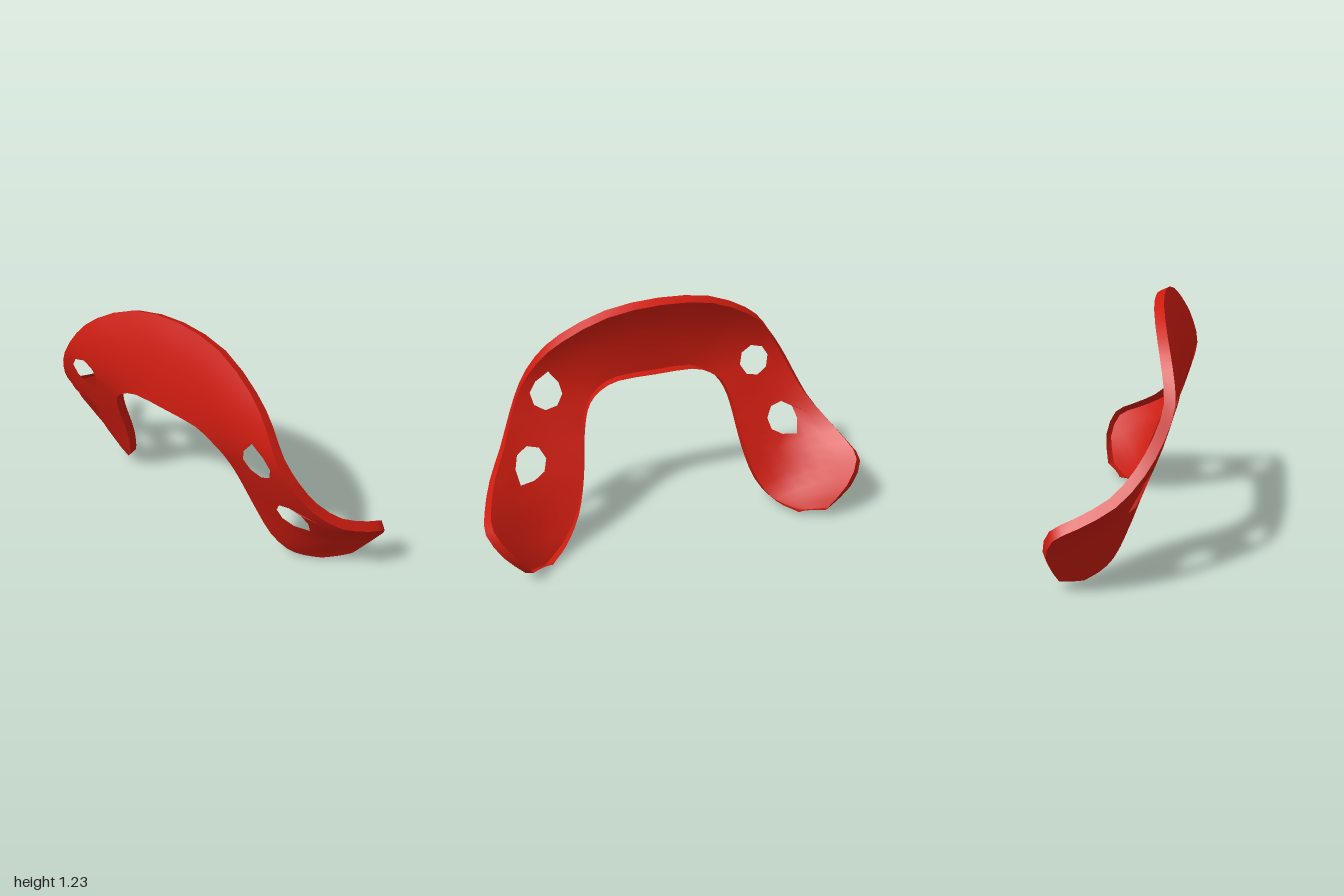
import * as THREE from 'three';
import { toCreasedNormals } from 'three/addons/utils/BufferGeometryUtils.js';

const RIM_DEPTH = 0.05;
const ROWS = 22; // rows per side, two per section
const COLS = 6;

// Sections from the crown to the wing tip: inner edge, middle, outer edge
const SECTIONS = [
  [[0, 0.79, 0.26], [0, 1.03, 0.235], [0, 1.23, 0.165]],
  [[0.2, 0.785, 0.26], [0.23, 1.0, 0.245], [0.27, 1.195, 0.18]],
  [[0.3, 0.74, 0.255], [0.4, 0.93, 0.265], [0.49, 1.085, 0.22]],
  [[0.36, 0.68, 0.235], [0.5, 0.83, 0.27], [0.61, 0.97, 0.255]],
  [[0.395, 0.6, 0.205], [0.56, 0.745, 0.255], [0.695, 0.83, 0.275]],
  [[0.415, 0.5, 0.165], [0.61, 0.6, 0.21], [0.765, 0.69, 0.235]],
  [[0.43, 0.4, 0.125], [0.67, 0.47, 0.155], [0.835, 0.555, 0.16]],
  [[0.455, 0.28, 0.08], [0.71, 0.36, 0.1], [0.92, 0.44, 0.05]],
  [[0.5, 0.15, 0.035], [0.74, 0.26, 0.03], [0.98, 0.36, -0.1]],
  [[0.57, 0.055, -0.015], [0.77, 0.17, -0.05], [0.998, 0.305, -0.21]],
  [[0.64, 0.015, -0.07], [0.785, 0.09, -0.14], [0.93, 0.185, -0.255]],
  [[0.71, 0, -0.13], [0.775, 0.022, -0.175], [0.83, 0.045, -0.22]],
];

// Eight-sided holes: grid row, centre, first angle, stretched corner and its reach
const HOLES = [
  { row: 8, x: 0.567, y: 0.755, start: 55, corner: 7, reach: 0.115, sides: [1] },
  { row: 13, x: 0.695, y: 0.438, start: 40, corner: 2, reach: 0.108, sides: [-1, 1] },
];
const RING = [[1, 0], [1, 1], [0, 1], [-1, 1], [-1, 0], [-1, -1], [0, -1], [1, -1]];

// Edge or middle curve running over both sides
function railCurve(k) {
  const right = SECTIONS.map((s) => new THREE.Vector3(...s[k]));
  const left = right.slice(1).reverse().map((p) => new THREE.Vector3(-p.x, p.y, p.z));
  return new THREE.CatmullRomCurve3([...left, ...right], false, 'catmullrom', 0.5);
}
const RAILS = [0, 1, 2].map(railCurve);

// Front surface at a grid position: a quadratic across the three rails
function surface(row, col) {
  const [a, m, b] = RAILS.map((k) => k.getPoint((row + ROWS) / (2 * ROWS)));
  const v = col / COLS;
  return new THREE.Vector3()
    .addScaledVector(a, (1 - v) * (1 - 2 * v))
    .addScaledVector(m, 4 * v * (1 - v))
    .addScaledVector(b, v * (2 * v - 1));
}

// Surface point seen at x, y from the front, found by Newton steps
function surfaceAt(x, y, row, col) {
  const e = 0.01;
  for (let i = 0; i < 6; i++) {
    const p = surface(row, col);
    const du = surface(row + e, col).sub(p).divideScalar(e);
    const dv = surface(row, col + e).sub(p).divideScalar(e);
    const dx = x - p.x, dy = y - p.y, det = du.x * dv.y - dv.x * du.y;
    row += (dx * dv.y - dv.x * dy) / det;
    col += (du.x * dy - dx * du.y) / det;
  }
  return surface(row, col);
}

function plateGeometry() {
  const id = (r, c) => (r + ROWS) * (COLS + 1) + c;
  const points = [], index = [], open = new Set();
  for (let r = -ROWS; r <= ROWS; r++) {
    for (let c = 0; c <= COLS; c++) points.push(surface(r, c));
  }

  // Outline of the plate, walked once around
  const outline = [];
  for (let r = -ROWS; r < ROWS; r++) outline.push([r, 0]);
  for (let c = 0; c < COLS; c++) outline.push([ROWS, c]);
  for (let r = ROWS; r > -ROWS; r--) outline.push([r, COLS]);
  for (let c = COLS; c > 0; c--) outline.push([-ROWS, c]);

  // Rim turned back from the outline, square to the skin
  const at = (r, c) => points[id(
    THREE.MathUtils.clamp(r, -ROWS, ROWS), THREE.MathUtils.clamp(c, 0, COLS))];
  const rimStart = points.length;
  const rim = outline.map(([r, c]) => {
    const along = at(r + 1, c).clone().sub(at(r - 1, c));
    const across = at(r, c + 1).clone().sub(at(r, c - 1));
    const normal = along.cross(across).normalize();
    return at(r, c).clone().addScaledVector(normal, -RIM_DEPTH);
  });
  outline.forEach(([r, c], i) => {
    const j = (i + 1) % outline.length;
    const a = id(r, c), b = id(...outline[j]);
    index.push(b, a, rimStart + i, b, rimStart + i, rimStart + j);
  });

  // Pull the grid points around each hole onto its edge
  for (const h of HOLES) for (const s of [-1, 1]) {
    RING.forEach(([dc, dr], i) => {
      const stretched = i === h.corner && h.sides.includes(s);
      const angle = THREE.MathUtils.degToRad(h.start - 45 * i);
      const radius = stretched ? h.reach : 0.083;
      const x = s * (h.x + radius * Math.cos(angle)), y = h.y + radius * Math.sin(angle);
      const row = s * (h.row + dr), col = COLS / 2 + dc;
      points[id(row, col)].copy(surfaceAt(x, y, row, col));
    });
    for (const dr of [-1, 0]) for (const dc of [-1, 0]) {
      open.add(id(s * h.row + dr, COLS / 2 + dc));
    }
  }

  // Skin, with diagonals mirrored so both sides match
  for (let r = -ROWS; r < ROWS; r++) for (let c = 0; c < COLS; c++) {
    if (open.has(id(r, c))) continue;
    const [a, b, d, e] = [id(r, c), id(r + 1, c), id(r + 1, c + 1), id(r, c + 1)];
    if (r < 0) index.push(a, b, e, b, d, e);
    else index.push(a, b, d, a, d, e);
  }

  const geometry = new THREE.BufferGeometry().setFromPoints([...points, ...rim]);
  geometry.setIndex(index);
  return toCreasedNormals(geometry, 0.7);
}

export function createModel() {
  const group = new THREE.Group();
  group.name = 'curvedPlate';
  const material = new THREE.MeshStandardMaterial({ color: 0xcc1c10, side: THREE.DoubleSide });
  const plate = new THREE.Mesh(plateGeometry(), material);
  plate.name = 'archedShellWithRim';
  group.add(plate);
  return group;
}
